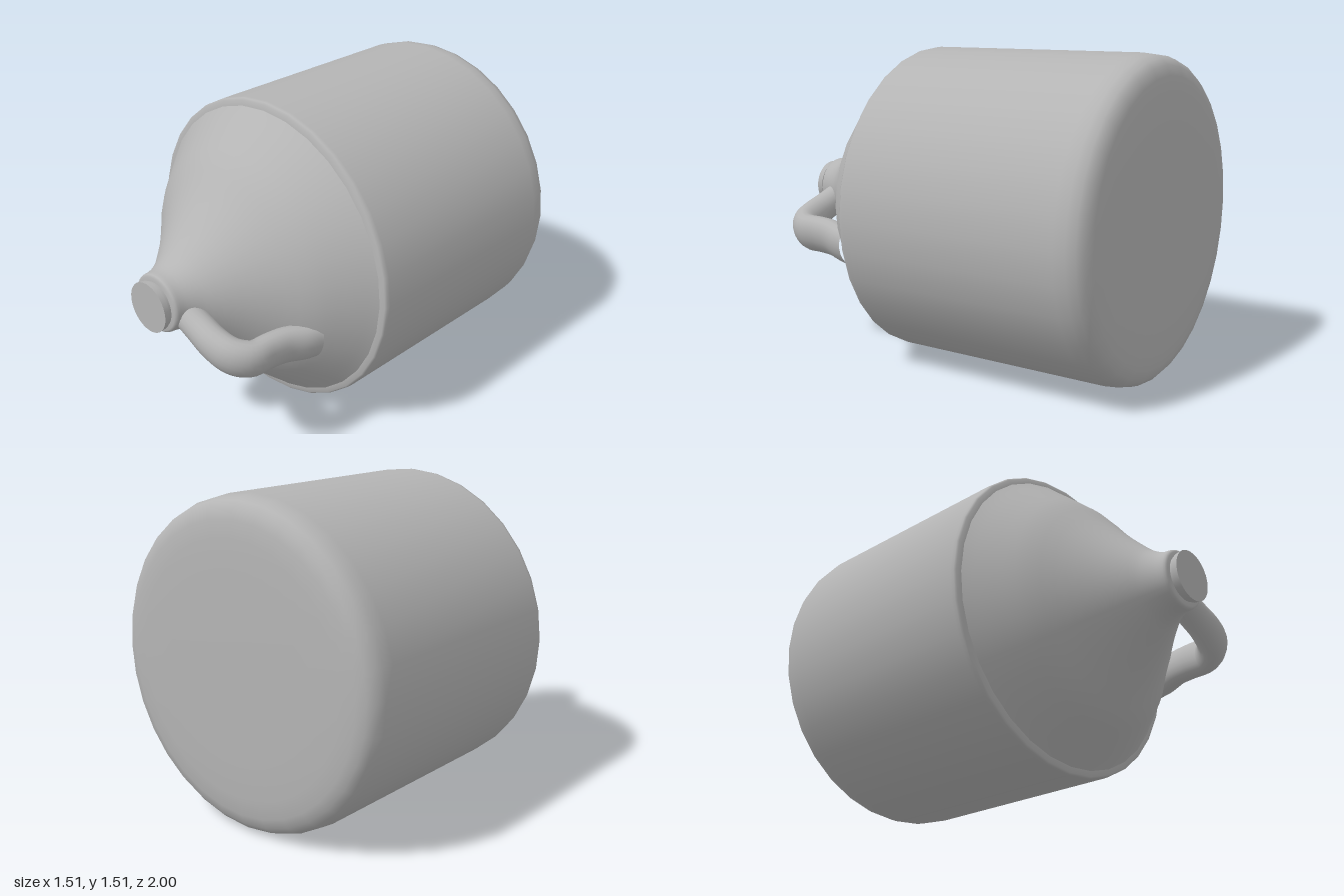
import * as THREE from 'three';
import { mergeVertices } from 'three/addons/utils/BufferGeometryUtils.js';

const AXIS_Y = 0.76;
const SIDES = 32;

export function createModel() {
  const model = new THREE.Group();
  model.name = 'jug';
  const clay = new THREE.MeshStandardMaterial({ color: 0xb4b4b4 });
  clay.name = 'plain grey';

  const add = (name, geometry) => {
    const mesh = new THREE.Mesh(geometry, clay);
    mesh.name = name;
    mesh.position.y = AXIS_Y;
    model.add(mesh);
  };
  // Turn a [radius, z] profile around the jug's horizontal axis
  const turn = (profile) => new THREE.LatheGeometry(
    profile.map(([r, z]) => new THREE.Vector2(r, z)), SIDES).rotateX(Math.PI / 2);

  // Cylindrical body with a rounded base at the back
  add('body', turn([
    [0, -1], [0.4, -1], [0.58, -0.995], [0.66, -0.986], [0.705, -0.972], [0.735, -0.945],
    [0.75, -0.905], [0.756, -0.85], [0.756, 0.255], [0.754, 0.272], [0.746, 0.281], [0.72, 0.285],
  ]));

  // Sloping shoulder that sweeps into the neck
  const shoulder = new THREE.SplineCurve([
    [0.722, 0.283], [0.69, 0.318], [0.62, 0.4], [0.53, 0.5], [0.41, 0.6], [0.3, 0.7],
    [0.205, 0.8], [0.168, 0.85], [0.146, 0.9], [0.141, 0.94],
  ].map(([r, z]) => new THREE.Vector2(r, z))).getPoints(24).map((p) => [p.x, p.y]);
  add('shoulder', turn([...shoulder, [0.138, 0.95], [0.128, 0.957], [0.1, 0.958]]));

  // Stopper, slightly wider at its face
  add('stopperStem', new THREE.CylinderGeometry(0.113, 0.106, 0.04, SIDES)
    .rotateX(Math.PI / 2).translate(0, 0, 0.96));
  add('stopper', new THREE.CylinderGeometry(0.12, 0.117, 0.027, SIDES)
    .rotateX(Math.PI / 2).translate(0, 0, 0.9865));

  // Oval handle from neck to shoulder, growing wider towards its lower end
  const path = new THREE.CatmullRomCurve3([
    [0.06, 0.865], [0.2, 0.868], [0.31, 0.868], [0.4, 0.845], [0.455, 0.785],
    [0.463, 0.69], [0.475, 0.6], [0.51, 0.5], [0.52, 0.45],
  ].map(([s, z]) => new THREE.Vector3(s, 0, z)));
  const rows = 40, round = 20;
  const tube = new THREE.TubeGeometry(path, rows, 0.07, round, false);
  const pos = tube.attributes.position;
  for (let i = 0; i < pos.count; i++) {
    const t = Math.floor(i / (round + 1)) / rows;
    pos.setY(i, pos.getY(i) * (1 + 0.42 * THREE.MathUtils.smoothstep(t, 0.1, 0.6)));
  }
  tube.deleteAttribute('uv');
  tube.deleteAttribute('normal');
  const handle = mergeVertices(tube);
  handle.computeVertexNormals();
  add('handle', handle.rotateZ(-Math.PI / 8));

  return model;
}
